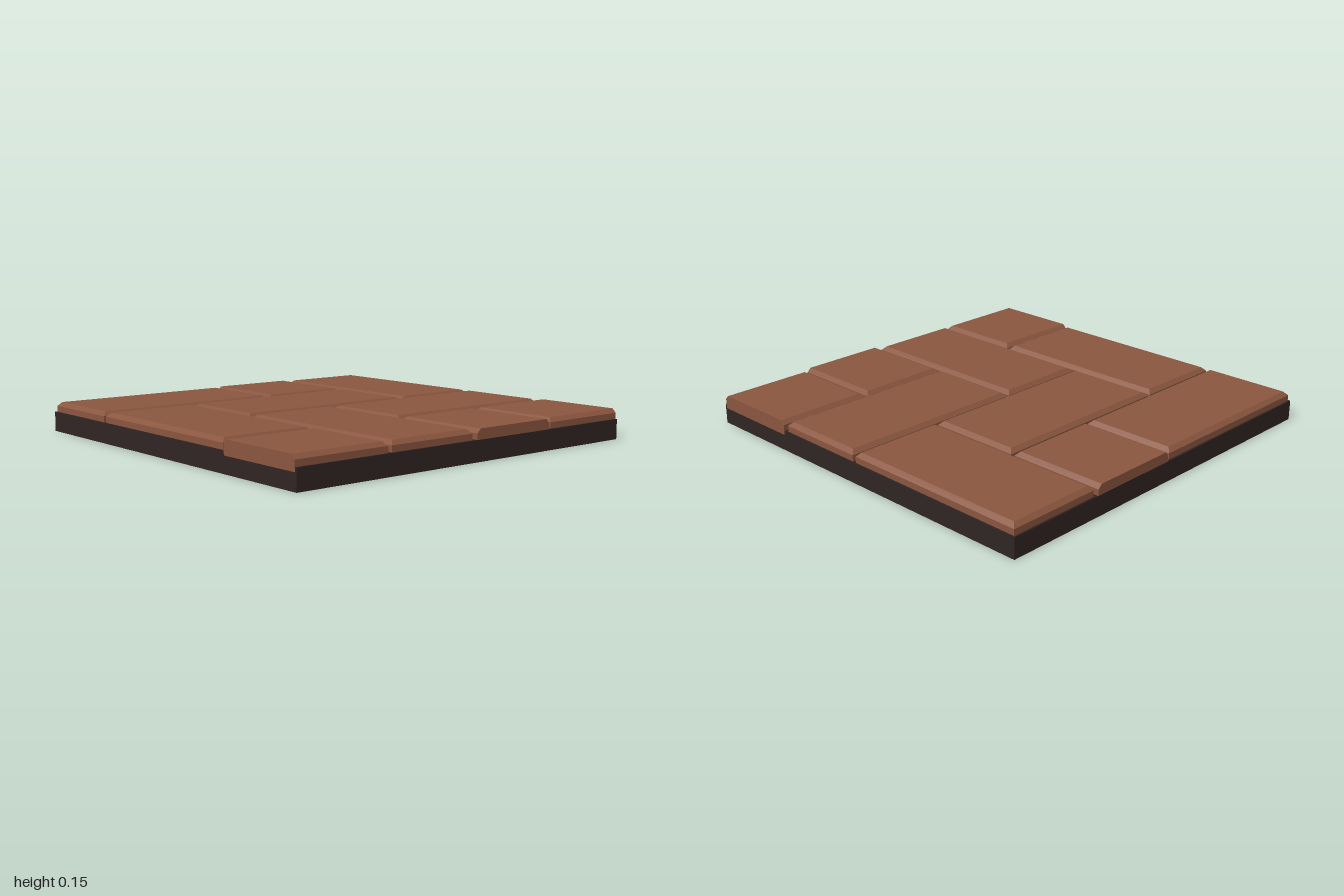
import * as THREE from 'three';

const BASE_TOP = 0.1, SHOULDER = 0.13, TOP = 0.15;
const JOINT = 0.01, BEVEL = 0.03; // insets of the brick sides and of the bevelled top

// Brick filling a grid cell; sides named in `cut` are sliced flush with the tile edge
function brickGeometry(x0, x1, z0, z1, cut, bottom) {
  const geo = new THREE.BoxGeometry(1, 1, 1, 1, 2, 1);
  const pos = geo.attributes.position;
  for (let i = 0; i < pos.count; i++) {
    const y = pos.getY(i);
    const level = y > 0.25 ? TOP : y < -0.25 ? bottom : SHOULDER;
    const inset = level === TOP ? BEVEL : JOINT;
    const side = (name) => (cut === name ? 0 : inset);
    const x = pos.getX(i) < 0 ? x0 + side('left') : x1 - side('right');
    const z = pos.getZ(i) < 0 ? z0 + side('back') : z1 - side('front');
    pos.setXYZ(i, x, level, z);
  }
  const flat = geo.toNonIndexed();
  flat.computeVertexNormals();
  return flat;
}

export function createModel() {
  const model = new THREE.Group();
  model.name = 'brickTile';

  const brick = new THREE.MeshStandardMaterial({ color: 0x8a563f });
  brick.name = 'brick brown';
  const mortar = new THREE.MeshStandardMaterial({ color: 0x2f2523 });
  mortar.name = 'mortar dark';

  // Mortar slab, a hair narrower so that the cut bricks lie in front of it
  const slab = new THREE.Mesh(new THREE.BoxGeometry(1.998, BASE_TOP, 1.999), mortar);
  slab.position.y = BASE_TOP / 2;
  slab.name = 'mortarSlab';
  model.add(slab);

  // Basket of bricks: x range, z range, flush-cut side, bottom height
  const low = 0.08;
  const layout = [
    [-1, 0, -1, -0.5],
    [0, 0.5, -1, -0.5, 'back'],
    [0.5, 1, -1, 0],
    [-1, -0.5, -0.5, 0.5],
    [-0.5, 0.5, -0.5, 0],
    [-0.5, 0, 0, 1],
    [0, 1, 0, 0.5],
    [-1, -0.5, 0.5, 1, 'left', low],
    [0, 0.5, 0.5, 1, 'front'],
    [0.5, 1, 0.5, 1, 'right', low],
  ];
  layout.forEach(([x0, x1, z0, z1, cut = '', bottom = BASE_TOP], i) => {
    const mesh = new THREE.Mesh(brickGeometry(x0, x1, z0, z1, cut, bottom), brick);
    mesh.name = `brick${i + 1}`;
    model.add(mesh);
  });

  return model;
}
